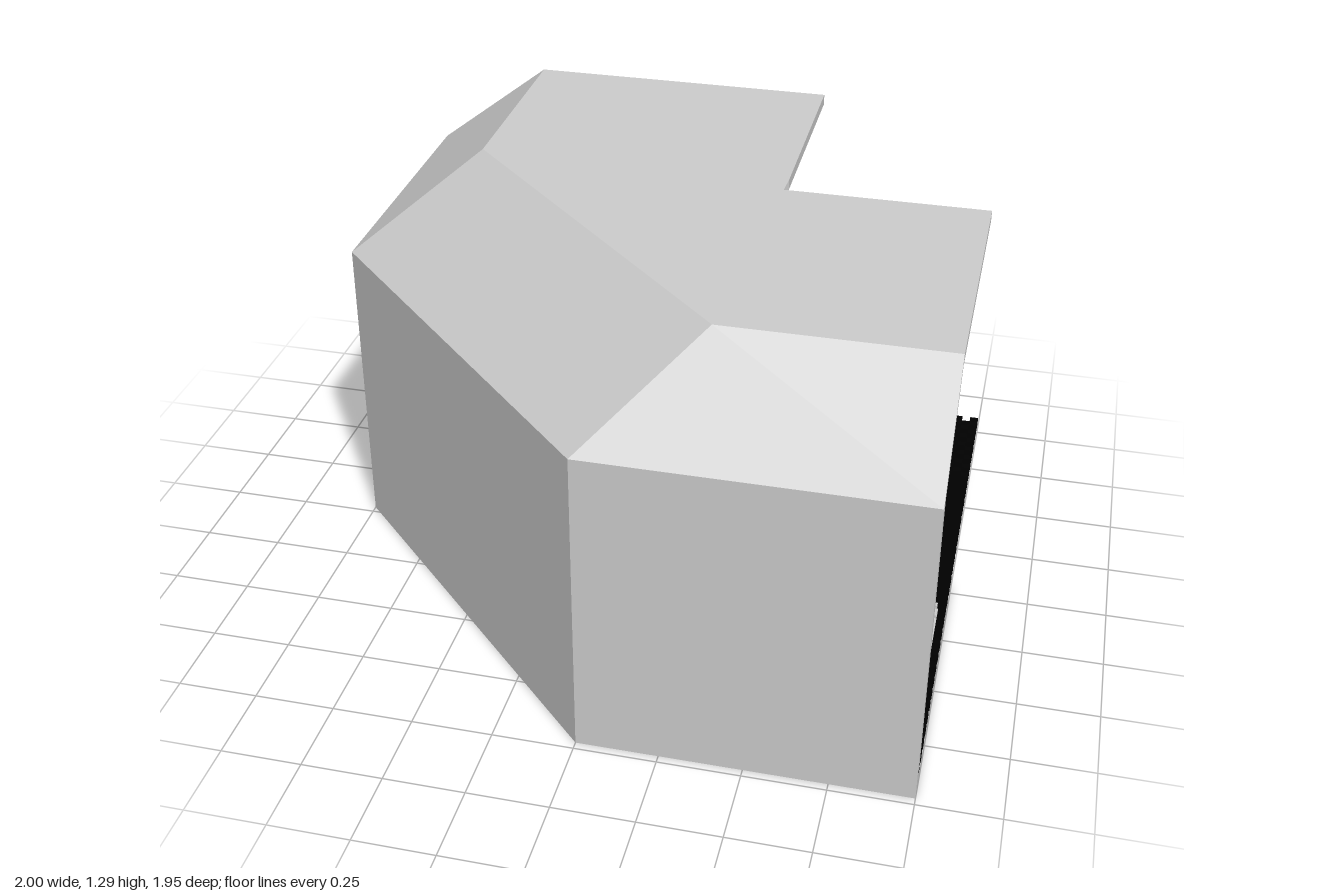
import * as THREE from 'three';
import { mergeGeometries } from 'three/addons/utils/BufferGeometryUtils.js';

const LEFT = 1, BACK = -0.975;

// Sweeps a closed profile along the bent plan: left end, two corners, back end.
// Each row is one profile point: [corner1 x, z, corner2 x, z, height].
function sweep(name, rows, material) {
  const n = rows.length;
  const stations = [
    rows.map(([, bz, , , y]) => [LEFT, y, bz]),
    rows.map(([bx, bz, , , y]) => [bx, y, bz]),
    rows.map(([, , cx, cz, y]) => [cx, y, cz]),
    rows.map(([, , cx, , y]) => [cx, y, BACK]),
  ];
  const index = [];
  for (let s = 0; s < 3; s++) {
    for (let i = 0; i < n; i++) {
      const j = (i + 1) % n;
      const a = s * n + i, b = s * n + j, c = a + n, d = b + n;
      index.push(a, b, d, a, d, c);
    }
  }
  // End caps
  const contour = stations[0].map(([, y, z]) => new THREE.Vector2(-z, y)).reverse();
  for (const tri of THREE.ShapeUtils.triangulateShape(contour, [])) {
    const [a, b, c] = tri.map((k) => n - 1 - k);
    index.push(a, b, c, 3 * n + a, 3 * n + c, 3 * n + b);
  }
  const indexed = new THREE.BufferGeometry();
  indexed.setAttribute('position', new THREE.Float32BufferAttribute(stations.flat(2), 3));
  indexed.setIndex(index);
  const geometry = indexed.toNonIndexed();
  geometry.computeVertexNormals();
  const mesh = new THREE.Mesh(geometry, material);
  mesh.name = name;
  return mesh;
}

// Rectangular strip parallel to the walls, between two distances from the outer walls
function strip(name, outer, inner, y0, y1, material) {
  const k = Math.SQRT2 - 1;
  const row = (d, y) => [k * d, 0.975 - d, -1 + d, -0.025 - k * d, y];
  return sweep(name, [row(inner, y0), row(outer, y0), row(outer, y1), row(inner, y1)], material);
}

export function createModel() {
  const group = new THREE.Group();
  const grey = new THREE.MeshStandardMaterial({ color: 0xcccccc, flatShading: true, side: THREE.DoubleSide });
  const black = new THREE.MeshStandardMaterial({ color: 0x000000 });

  // Floor, walls, sloped eaves and roof in one open shell
  group.add(sweep('shell', [
    [0, -0.025, 0, -0.025, 0],
    [0, 0.975, -1, -0.025, 0],
    [0, 0.975, -1, -0.025, 1],
    [0.325, 0.675, -0.625, -0.275, 1.29],
    [0.325, -0.2, 0.37, -0.275, 1.29],
    [0.325, -0.2, 0.37, -0.275, 1.255],
    [0.325, 0.675, -0.625, -0.275, 1.255],
    [0, 0.925, -0.95, -0.025, 1],
    [0, 0.925, -0.95, -0.025, 0.05],
    [0, -0.025, 0, -0.025, 0.05],
  ], grey));

  // Shelf along the inner walls with two thin rails above it
  group.add(strip('shelf', 0.045, 0.23, 0.498, 0.504, grey));
  for (const y of [0.52, 0.553]) group.add(strip('rail', 0.165, 0.18, y, y + 0.01, grey));

  // Checkered floor of small blocks with open gaps between them
  const s = 2 / 70, blocks = [];
  for (let i = 0; i < 69; i++) {
    for (let k = i % 2; k < 67; k += 2) {
      const x = LEFT - (i + 0.5) * s, z = BACK + (k + 0.5) * s;
      if (z - x > 0.925 || z > 0.925) continue;
      blocks.push(new THREE.BoxGeometry(s, s * 0.95, s).translate(x, 0.051 + s * 0.475, z));
    }
  }
  const floor = new THREE.Mesh(mergeGeometries(blocks), black);
  floor.name = 'checkeredFloor';
  group.add(floor);

  return group;
}
